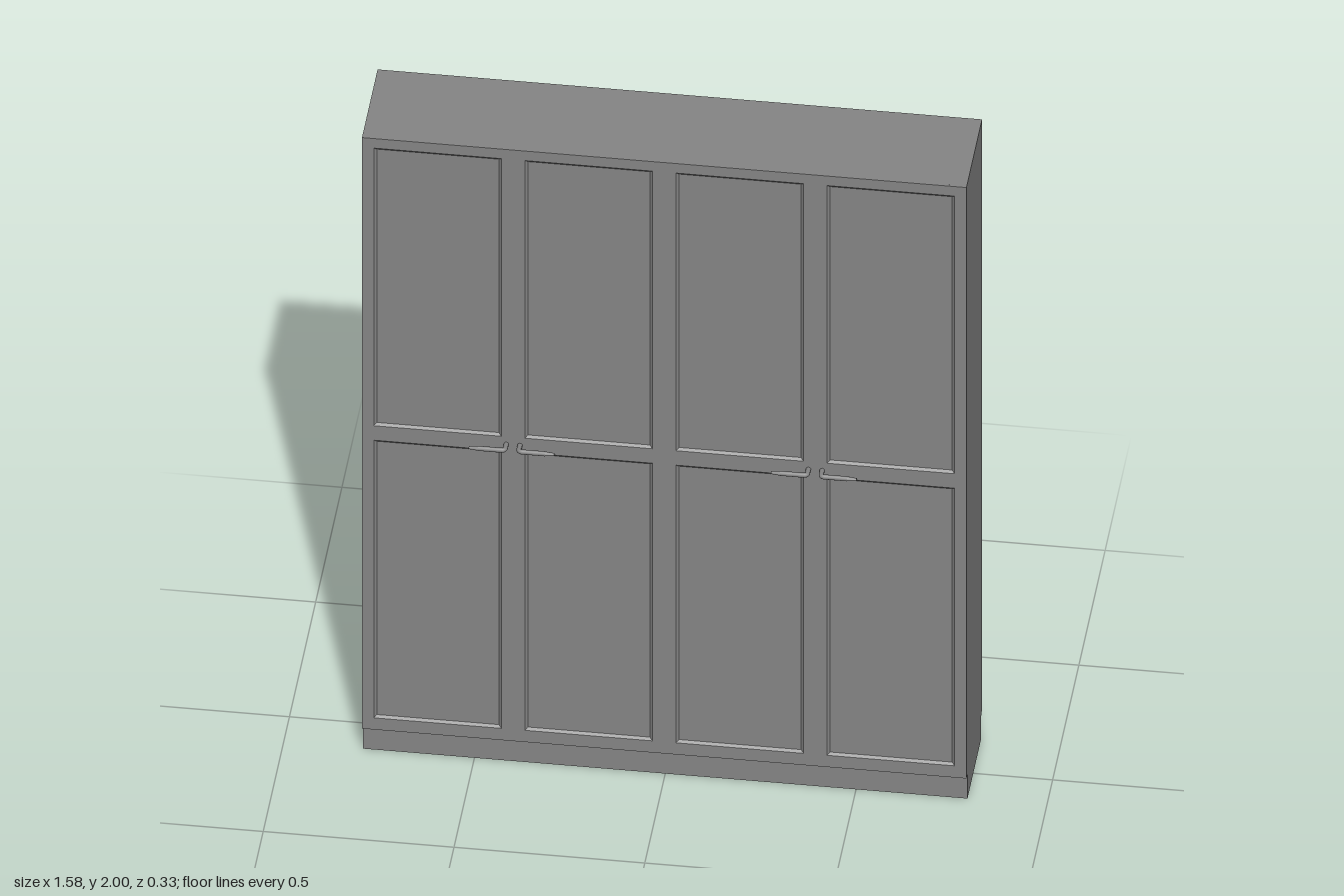
import * as THREE from 'three';

const W = 0.792, BACK = -0.167, FRONT = 0.13, BASE = 0.08, TOP = 2;
const RECESS = 0.006, RIM = 0.007;
const material = new THREE.MeshStandardMaterial({ color: 0x858585 });

function add(parent, name, geometry, x = 0, y = 0, z = 0) {
  const mesh = new THREE.Mesh(geometry, material);
  mesh.name = name;
  mesh.position.set(x, y, z);
  parent.add(mesh);
}

const rect = (Type, w, h, x, y) => new Type([
  [-1, -1], [1, -1], [1, 1], [-1, 1],
].map(([sx, sy]) => new THREE.Vector2(x + sx * w / 2, y + sy * h / 2)));

// Sloped moulding from the door face down to the sunken panel
function rimGeometry(w, h) {
  const corners = [[-1, -1], [1, -1], [1, 1], [-1, 1]];
  const outer = corners.map(([x, y]) => [x * w / 2, y * h / 2, 0]);
  const inner = corners.map(([x, y]) => [x * (w / 2 - RIM), y * (h / 2 - RIM), -RECESS]);
  const points = [];
  for (let i = 0; i < 4; i++) {
    const j = (i + 1) % 4;
    points.push(...outer[i], ...outer[j], ...inner[j], ...outer[i], ...inner[j], ...inner[i]);
  }
  const geometry = new THREE.BufferGeometry();
  geometry.setAttribute('position', new THREE.Float32BufferAttribute(points, 3));
  geometry.computeVertexNormals();
  return geometry;
}

// Bent lever handle pointing towards side (+1 or -1)
function makeHandle(side) {
  const handle = new THREE.Group();
  handle.name = 'handle';
  const path = new THREE.CurvePath();
  const p = (x, z) => new THREE.Vector3(side * x, 0, z);
  path.add(new THREE.LineCurve3(p(0, -0.002), p(0, 0.019)));
  path.add(new THREE.QuadraticBezierCurve3(p(0, 0.019), p(0, 0.028), p(0.009, 0.028)));
  path.add(new THREE.LineCurve3(p(0.009, 0.028), p(0.07, 0.028)));
  add(handle, 'handleBar', new THREE.TubeGeometry(path, 32, 0.0065, 10));
  const tip = new THREE.CylinderGeometry(0.004, 0.0065, 0.024, 10);
  tip.rotateZ(-side * Math.PI / 2);
  add(handle, 'handleTip', tip, side * 0.082, 0, 0.028);
  return handle;
}

export function createModel() {
  const model = new THREE.Group();
  model.name = 'cabinet';

  // Carcass behind the recessed fronts
  const bodyFront = FRONT - RECESS;
  add(model, 'carcass', new THREE.BoxGeometry(2 * W, TOP - BASE, bodyFront - BACK),
    0, (TOP + BASE) / 2, (bodyFront + BACK) / 2);

  // Plinth, with a small sloped lip under the back edge
  const plinth = new THREE.Shape([
    [0.11, 0], [0.11, BASE], [-0.16, BASE], [-0.148, 0.07], [-0.145, 0.062], [-0.145, 0],
  ].map(([z, y]) => new THREE.Vector2(-z, y)));
  const plinthGeometry = new THREE.ExtrudeGeometry(plinth, { depth: 2 * W, bevelEnabled: false });
  plinthGeometry.rotateY(Math.PI / 2);
  add(model, 'plinth', plinthGeometry, -W, 0, 0);

  // Door fronts: one face with eight openings
  const face = rect(THREE.Shape, 2 * W, TOP - BASE, 0, (TOP + BASE) / 2);
  const panelW = 0.334, panelH = 0.902;
  for (let column = 0; column < 4; column++) {
    const x = (column - 1.5) * 0.396;
    for (const y of [0.569, 1.518]) {
      face.holes.push(rect(THREE.Path, panelW, panelH, x, y));
      add(model, 'panelMoulding', rimGeometry(panelW, panelH), x, y, FRONT);
    }
  }
  add(model, 'doorFrames', new THREE.ExtrudeGeometry(face, { depth: RECESS, bevelEnabled: false }),
    0, 0, bodyFront);

  // Two pairs of handles pointing away from each other
  for (const centre of [-0.396, 0.396]) {
    for (const side of [-1, 1]) {
      const handle = makeHandle(side);
      handle.position.set(centre + side * 0.018, 1.043, FRONT);
      model.add(handle);
    }
  }
  return model;
}
